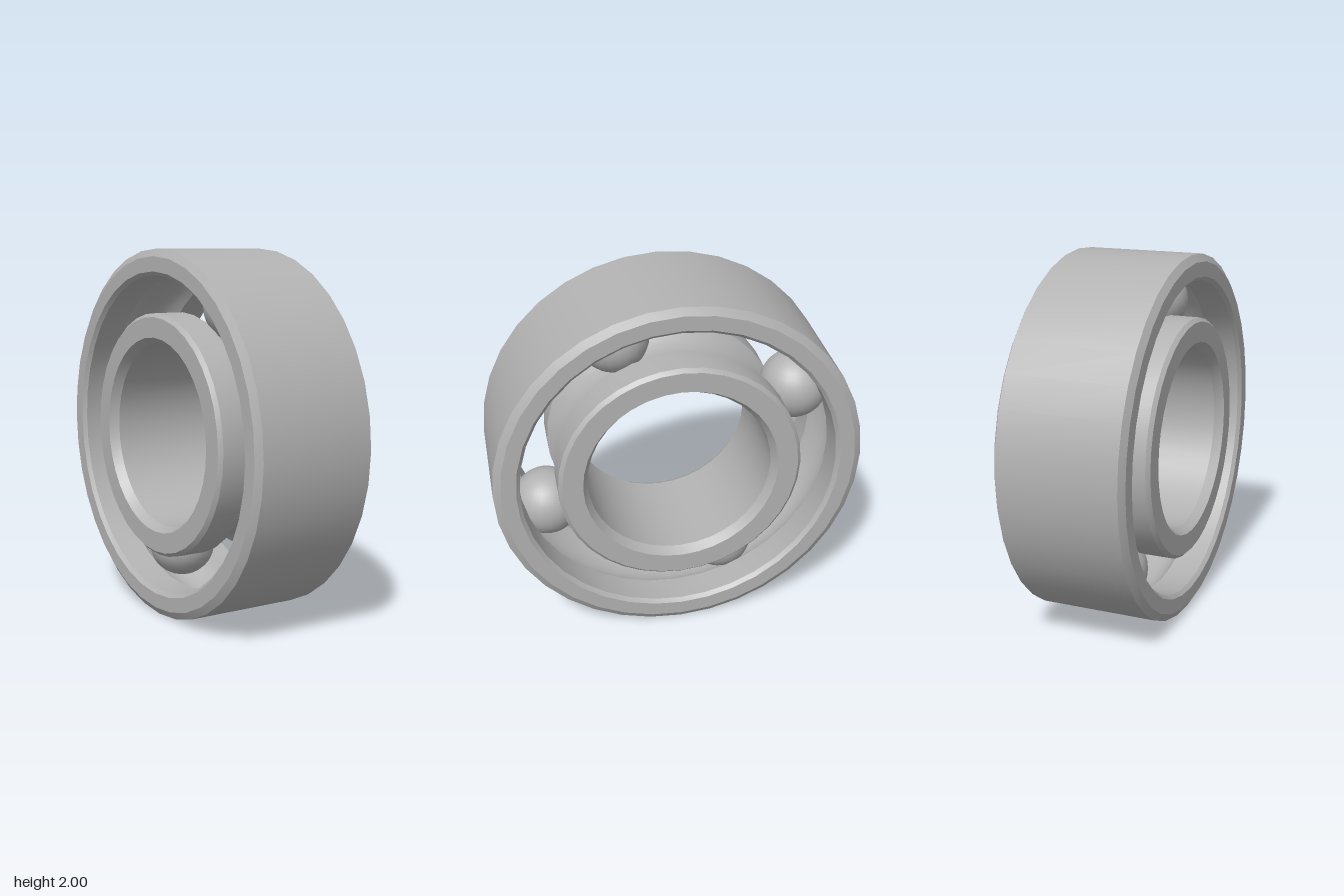
import * as THREE from 'three';
import { toCreasedNormals } from 'three/addons/utils/BufferGeometryUtils.js';

const PITCH = 0.76;   // radius of the circle the balls run on
const BALL = 0.19;
const GROOVE = 0.195;

// Points of the ball groove's cross-section between two angles
function groove(from, to, steps = 10) {
  return Array.from({ length: steps + 1 }, (_, i) => {
    const a = from + (to - from) * i / steps;
    return [PITCH + GROOVE * Math.cos(a), GROOVE * Math.sin(a)];
  });
}

// Closed ring turned around the z axis, crisp at its edges
function ring(name, profile, material) {
  const points = [...profile, profile[0]].map(([r, h]) => new THREE.Vector2(r, h));
  const geometry = toCreasedNormals(new THREE.LatheGeometry(points, 36), 0.45);
  geometry.rotateX(Math.PI / 2);
  const mesh = new THREE.Mesh(geometry, material);
  mesh.name = name;
  return mesh;
}

export function createModel() {
  const model = new THREE.Group();
  model.name = 'ballBearing';
  const steel = new THREE.MeshStandardMaterial({ color: 0xb2b2b2 });
  steel.name = 'steel';

  const bearing = new THREE.Group();
  bearing.name = 'bearing';
  bearing.position.y = 1;
  bearing.rotation.y = -0.824;
  model.add(bearing);

  // Outer ring: bevelled barrel with a groove inside
  const lip = Math.acos(0.1 / GROOVE);
  bearing.add(ring('outerRing', [
    [0.96, -0.35], [1, -0.325], [1, 0.325], [0.96, 0.35],
    [0.88, 0.35], [0.86, 0.33],
    ...groove(lip, -lip),
    [0.86, -0.33], [0.88, -0.35],
  ], steel));

  // Inner ring: groove outside, plain bore with bevelled mouths
  bearing.add(ring('innerRing', [
    [0.64, -0.35], [0.66, -0.33],
    ...groove(Math.PI + lip, Math.PI - lip),
    [0.66, 0.33], [0.64, 0.35],
    [0.53, 0.35], [0.5, 0.3], [0.5, -0.3], [0.53, -0.35],
  ], steel));

  // Four balls, evenly spaced
  const ballGeometry = new THREE.SphereGeometry(BALL, 24, 16);
  for (let i = 0; i < 4; i++) {
    const a = THREE.MathUtils.degToRad(67 + 90 * i);
    const ball = new THREE.Mesh(ballGeometry, steel);
    ball.name = `ball${i + 1}`;
    ball.position.set(PITCH * Math.cos(a), PITCH * Math.sin(a), 0);
    bearing.add(ball);
  }
  return model;
}
